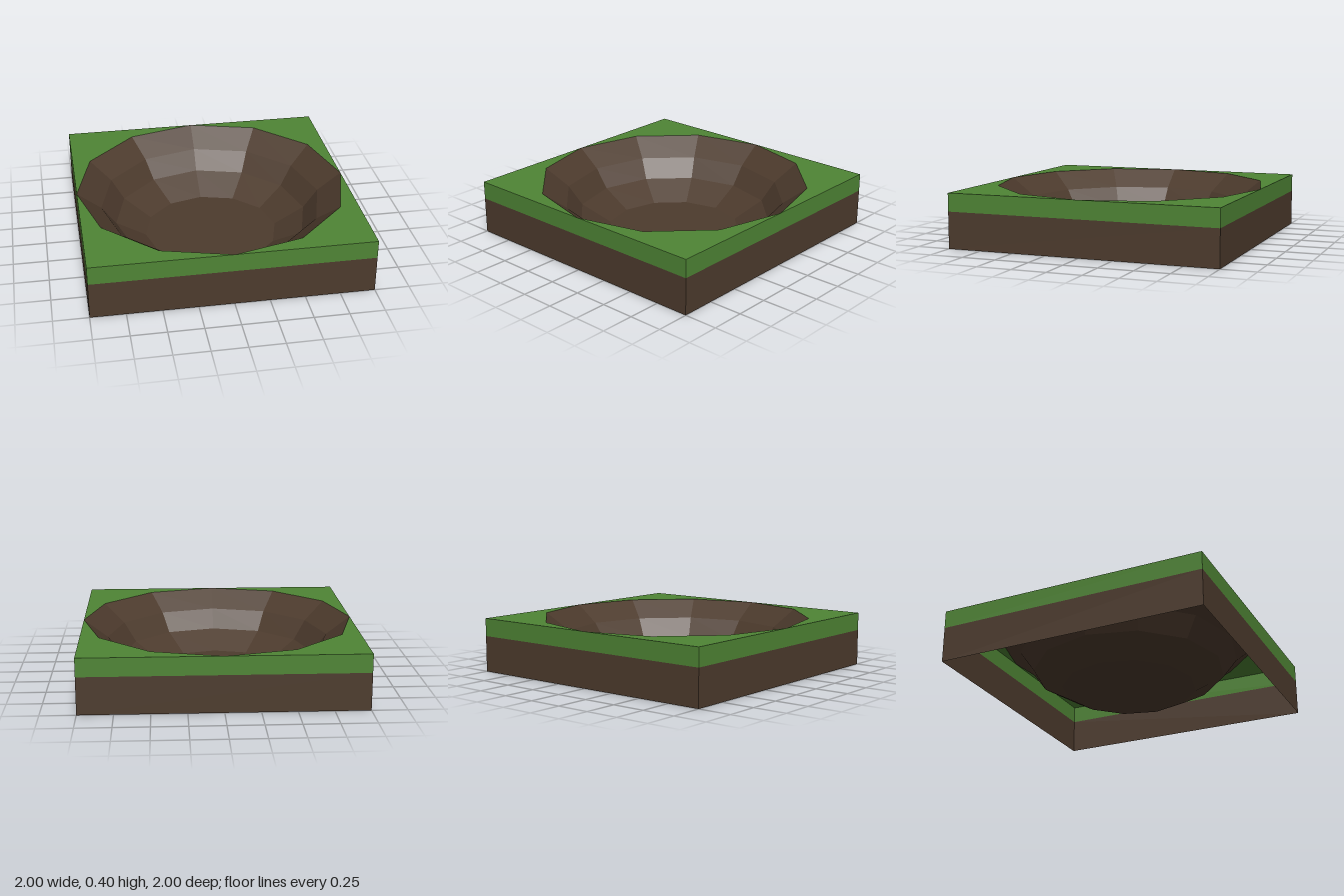
import * as THREE from 'three';

const SIDES = 12;
const TOP = 0.4;
const SEAM = 0.267;

export function createModel() {
  const model = new THREE.Group();
  model.name = 'craterTile';

  const surface = (name, color) => {
    const material = new THREE.MeshStandardMaterial({ color, flatShading: true, side: THREE.DoubleSide });
    material.name = name;
    return material;
  };
  const grass = surface('grass green', 0x4f8535);
  const soil = surface('soil brown', 0x4d3b2d);

  const add = (name, geometry, material, parent = model) => {
    const mesh = new THREE.Mesh(geometry, material);
    mesh.name = name;
    parent.add(mesh);
    return mesh;
  };

  // Open square band of walls between two heights
  const wallBand = (name, bottom, top, material) => {
    const geometry = new THREE.CylinderGeometry(Math.SQRT2, Math.SQRT2, top - bottom, 4, 1, true);
    geometry.rotateY(Math.PI / 4);
    geometry.translate(0, (top + bottom) / 2, 0);
    add(name, geometry, material);
  };
  wallBand('soilWalls', 0, SEAM, soil);
  wallBand('grassWalls', SEAM, TOP, grass);

  // Four grass corners left around the crater rim
  const lawn = new THREE.Group();
  lawn.name = 'grassTop';
  model.add(lawn);
  const corner = new THREE.Shape();
  corner.moveTo(1, 0);
  corner.lineTo(1, 1);
  corner.lineTo(0, 1);
  for (let i = SIDES / 4 - 1; i > 0; i--) {
    const a = (i / SIDES) * Math.PI * 2;
    corner.lineTo(Math.cos(a), Math.sin(a));
  }
  corner.closePath();
  const cornerGeometry = new THREE.ShapeGeometry(corner);
  cornerGeometry.rotateX(-Math.PI / 2);
  cornerGeometry.translate(0, TOP, 0);
  for (let i = 0; i < 4; i++) {
    add('grassCorner', cornerGeometry, grass, lawn).rotation.y = (i * Math.PI) / 2;
  }

  // Faceted bowl, from the rim down to the flat floor
  const profile = [[1, TOP], [0.825, SEAM], [0.72, 0.125], [0.5, 0], [0, 0]];
  const bowl = new THREE.LatheGeometry(profile.map(([r, y]) => new THREE.Vector2(r, y)), SIDES);
  add('craterBowl', bowl, soil);

  return model;
}
